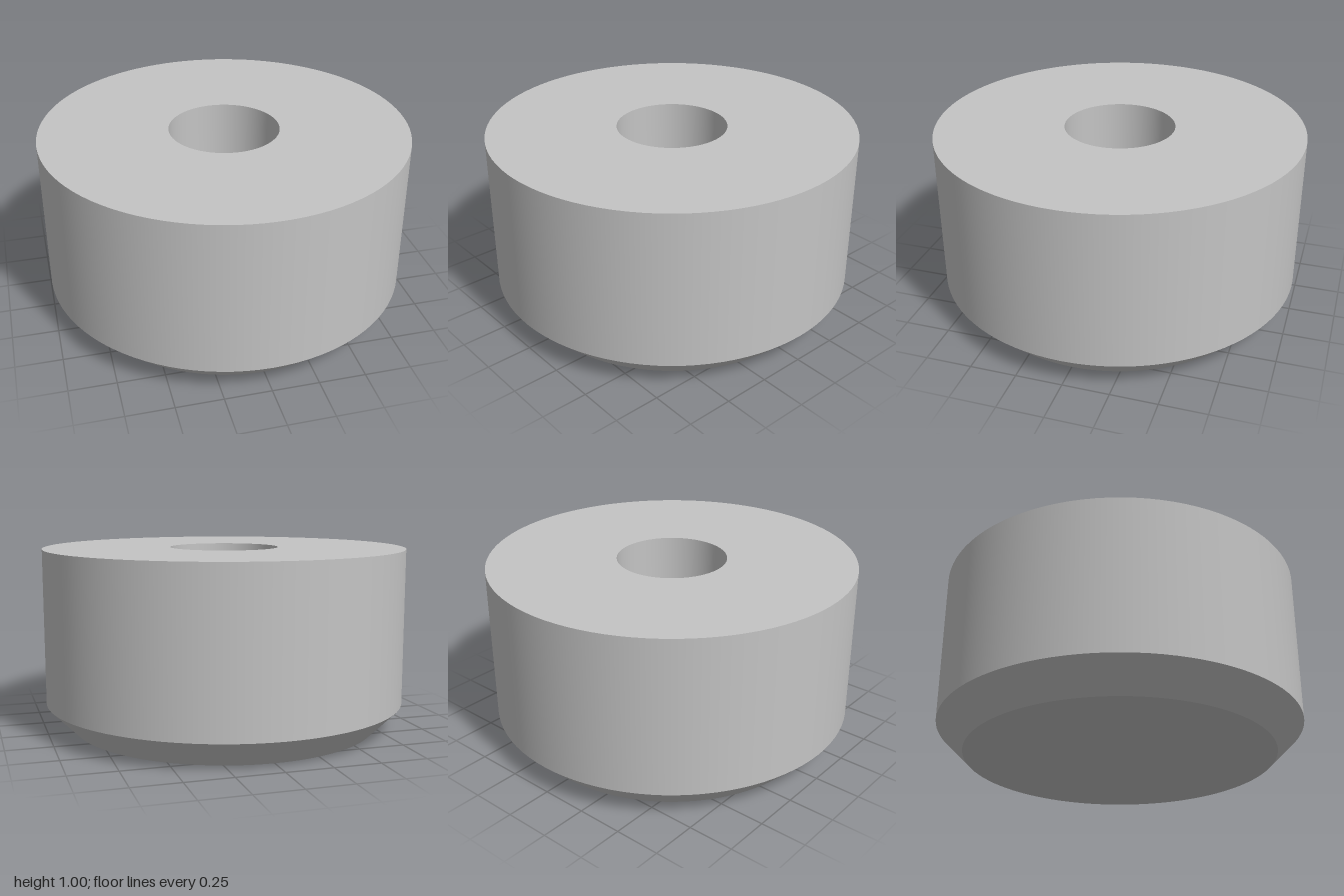
import * as THREE from 'three';

const SEGMENTS = 96;

export function createModel() {
  const group = new THREE.Group();
  group.name = 'chamferedPlug';

  const grey = new THREE.MeshStandardMaterial({ color: 0xc4c4c4 });
  grey.name = 'plain grey';

  // Profile [radius, height] from the base centre, up the outside, then down into the blind bore
  const profile = [
    [0, 0], [0.85, 0], [1, 0.15], [1, 1], [0.3, 1], [0.3, 0.3], [0, 0.3],
  ].map(([r, y]) => new THREE.Vector2(r, y));
  const names = ['base', 'chamfer', 'outerWall', 'topFace', 'boreWall', 'boreFloor'];

  // One lathe per profile segment: smooth around, sharp between the surfaces
  names.forEach((name, i) => {
    const geometry = new THREE.LatheGeometry([profile[i], profile[i + 1]], SEGMENTS);
    const mesh = new THREE.Mesh(geometry, grey);
    mesh.name = name;
    group.add(mesh);
  });

  return group;
}
